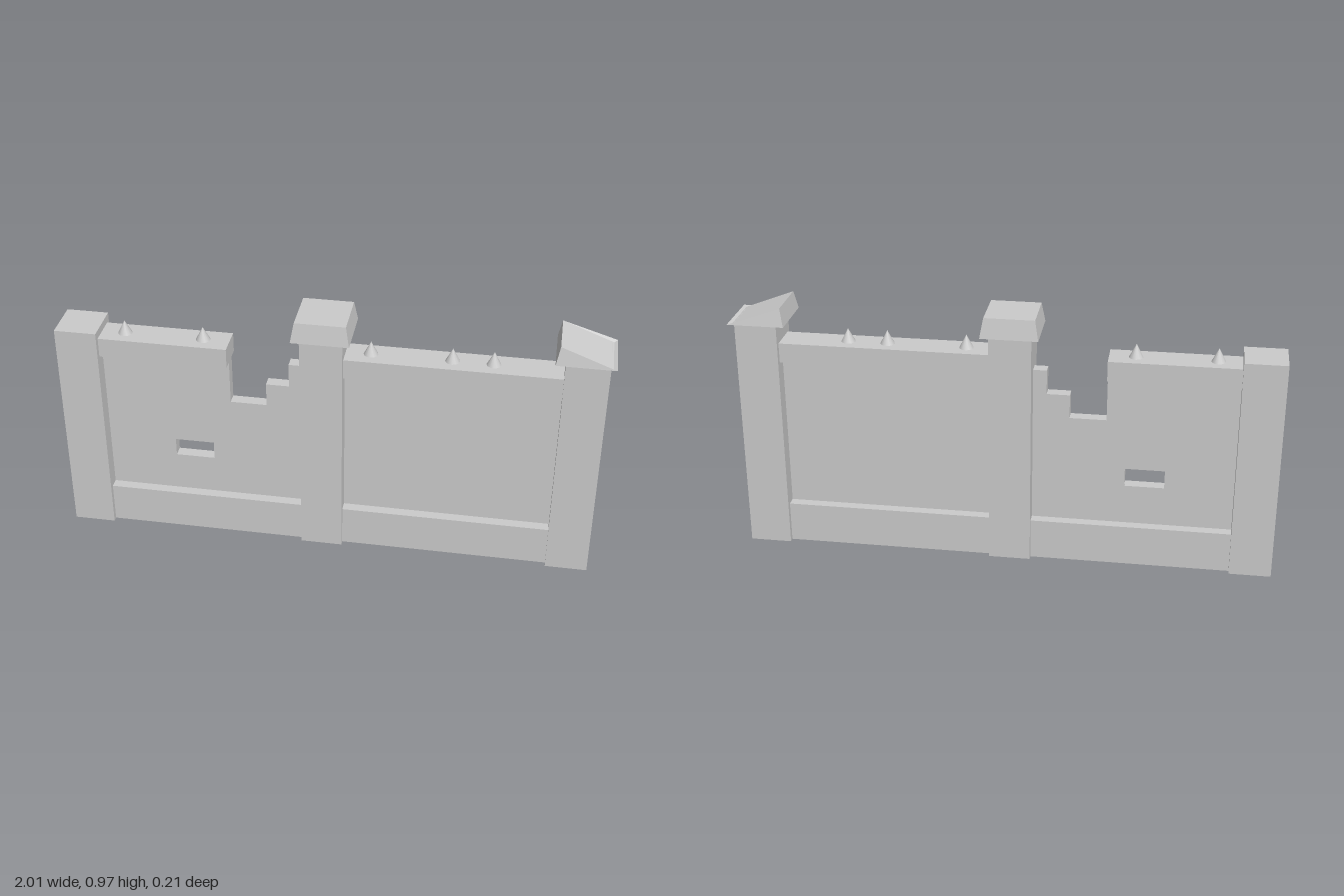
import * as THREE from 'three';

const material = new THREE.MeshStandardMaterial({ color: 0xcccccc, flatShading: true });
const smooth = new THREE.MeshStandardMaterial({ color: 0xcccccc });

export function createModel() {
  const group = new THREE.Group();
  const add = (name, geometry, mat = material) => {
    const mesh = new THREE.Mesh(geometry, mat);
    mesh.name = name;
    group.add(mesh);
    return mesh;
  };

  // Box spanning x0..x1 and y0..y1, centred on z = 0
  const block = (name, x0, x1, y0, y1, depth) =>
    add(name, new THREE.BoxGeometry(x1 - x0, y1 - y0, depth)
      .translate((x0 + x1) / 2, (y0 + y1) / 2, 0));

  // Tapered cap; the right side of its top may be pulled down as a broken slope
  const cap = (name, cx, y0, yLeft, yRight) => {
    const geometry = new THREE.BoxGeometry(2, 2, 2);
    const p = geometry.attributes.position;
    for (let i = 0; i < p.count; i++) {
      const sx = p.getX(i), top = p.getY(i) > 0, sz = p.getZ(i);
      const half = top ? 0.092 : 0.105;
      p.setXYZ(i, cx + sx * half, top ? (sx < 0 ? yLeft : yRight) : y0, sz * half);
    }
    geometry.computeVertexNormals();
    return add(name, geometry);
  };

  // Posts
  block('rightPost', -1, -0.845, 0, 0.845, 0.16);
  block('middlePost', -0.1, 0.055, 0, 0.895, 0.16);
  block('leftPost', 0.83, 0.985, 0, 0.895, 0.16);
  cap('middleCap', -0.0225, 0.894, 0.968, 0.968);
  cap('brokenCap', 0.9, 0.895, 0.963, 0.892);

  // Plinths and top rails
  block('rightPlinth', -0.845, -0.1, 0, 0.155, 0.12);
  block('leftPlinth', 0.055, 0.83, 0, 0.155, 0.12);
  block('rightRail', -0.845, -0.37, 0.74, 0.815, 0.12);
  block('leftRail', 0.055, 0.83, 0.74, 0.815, 0.12);

  // Wall panels: one whole, one broken in steps with a slot through it
  block('leftWall', 0.055, 0.83, 0.15, 0.745, 0.044);
  const outline = [
    [-0.845, 0.15], [-0.1, 0.15], [-0.1, 0.752], [-0.15, 0.752], [-0.15, 0.66],
    [-0.235, 0.66], [-0.235, 0.57], [-0.37, 0.57], [-0.37, 0.745], [-0.845, 0.745],
  ];
  const slot = [[-0.59, 0.308], [-0.59, 0.378], [-0.443, 0.378], [-0.443, 0.308]];
  const points = (list) => list.map(([x, y]) => new THREE.Vector2(x, y));
  const shape = new THREE.Shape(points(outline));
  shape.holes.push(new THREE.Path(points(slot)));
  add('brokenWall', new THREE.ExtrudeGeometry(shape, { depth: 0.044, bevelEnabled: false })
    .translate(0, 0, -0.022));

  // Spikes along the rails
  for (const x of [-0.758, -0.467, 0.146, 0.437, 0.583]) {
    add('spike', new THREE.ConeGeometry(0.027, 0.052, 12).translate(x, 0.84, 0), smooth);
  }
  return group;
}
